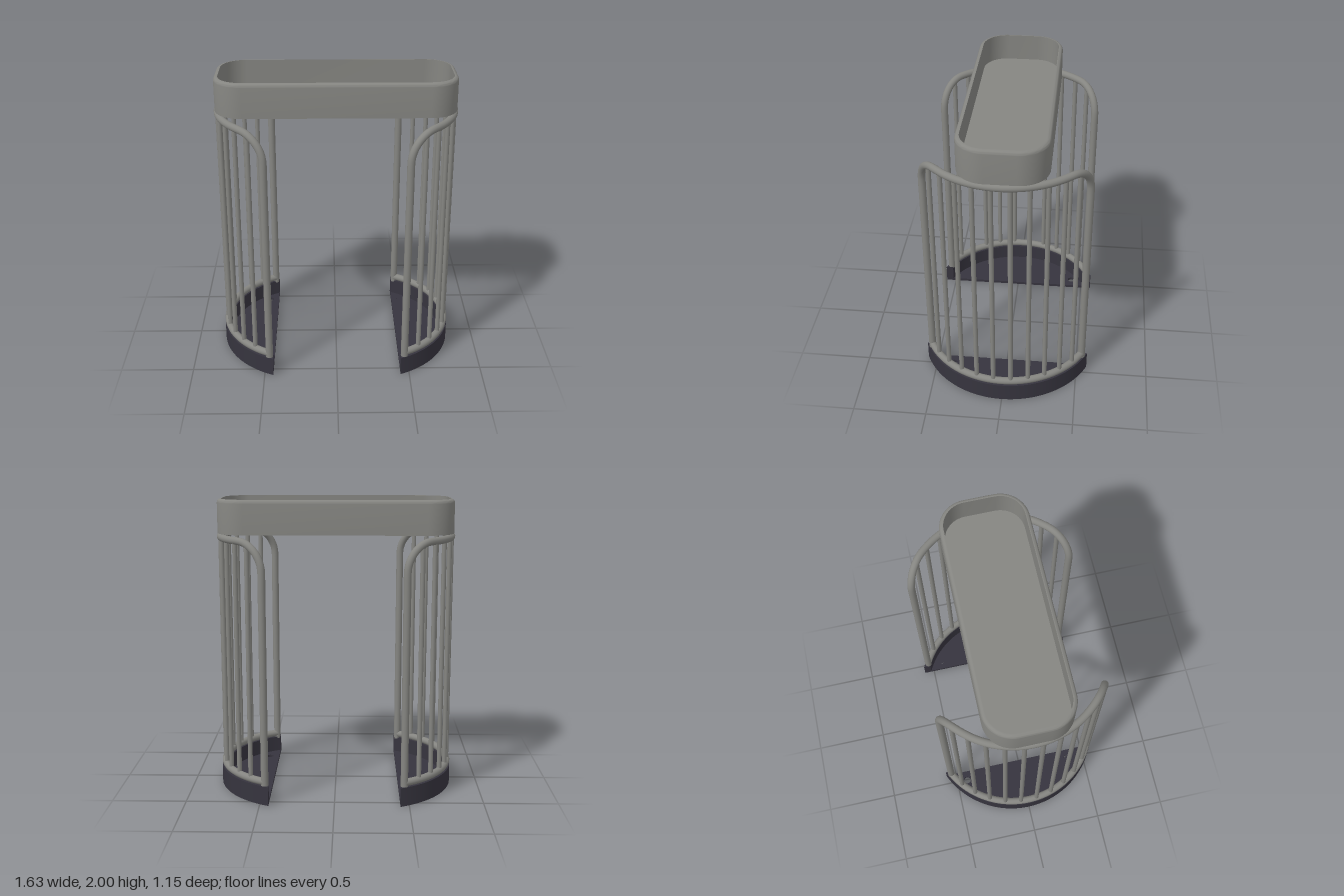
import * as THREE from 'three';
import { toCreasedNormals } from 'three/addons/utils/BufferGeometryUtils.js';

const CX = 0.186;                    // centre of each curved side
const R = 0.602;                     // radius of the rail centre line
const R_OUT = 0.627, R_IN = 0.58;    // base wall
const CHORD = 0.44;                  // straight inner edge of the base
const END = 1.089;                   // half angle of the rails
const TOP = 1.745, RING = 0.155, BEND = 0.19;
const RAIL = 0.025, BAR = 0.016;

const onArc = (a, y) => new THREE.Vector3(CX + R * Math.cos(a), y, R * Math.sin(a));

function tube(points, segments) {
  return new THREE.TubeGeometry(new THREE.CatmullRomCurve3(points), segments, RAIL, 14);
}

// Upright, bend, curved top rail, bend, upright
function hoopGeometry() {
  const half = [];
  for (const y of [0.12, 0.5, 1, 1.4]) half.push(onArc(END, y));
  for (let i = 0; i <= 8; i++) {
    const t = (i / 8) * Math.PI / 2;
    const s = BEND * (1 - Math.cos(t));
    half.push(onArc(END - s / R, TOP - BEND + BEND * Math.sin(t)));
  }
  const middle = [];
  const start = END - BEND / R;
  for (let i = 1; i < 10; i++) middle.push(onArc(start * (1 - i / 5), TOP));
  const other = half.map(p => new THREE.Vector3(p.x, p.y, -p.z)).reverse();
  return tube([...half, ...middle, ...other], 160);
}

function ringGeometry() {
  const pts = [];
  for (let i = 0; i <= 16; i++) pts.push(onArc(-END + (2 * END * i) / 16, RING));
  return tube(pts, 64);
}

// Extrude a plan shape upwards from y = 0
function slab(shape, height) {
  const g = new THREE.ExtrudeGeometry(shape, { depth: height, bevelEnabled: false, curveSegments: 48 });
  g.rotateX(-Math.PI / 2);
  return toCreasedNormals(g, 0.5);
}

// Floor segment with two bolt holes
function floorGeometry(side) {
  const a = Math.acos((CHORD - CX) / R_OUT);
  const shape = new THREE.Shape();
  shape.absarc(CX, 0, R_OUT, -a, a, false);
  shape.closePath();
  for (const z of [-0.422, 0.376]) {
    const hole = new THREE.Path();
    hole.absarc(0.509, -z * side, 0.026, 0, Math.PI * 2, true);
    shape.holes.push(hole);
  }
  return slab(shape, 0.02);
}

// Curved wall, cut off flat at the inner edge
function wallGeometry() {
  const ao = Math.acos((CHORD - CX) / R_OUT);
  const ai = Math.acos((CHORD - CX) / R_IN);
  const shape = new THREE.Shape();
  shape.absarc(CX, 0, R_OUT, -ao, ao, false);
  shape.absarc(CX, 0, R_IN, ai, -ai, true);
  shape.closePath();
  return slab(shape, 0.13);
}

// Open tray: rounded-rectangle loops, stacked along a wall profile of [inset, y]
function trayGeometry() {
  const W = 0.797, D = 0.289, CORNER = 0.19, STEPS = 12;
  const floorY = 1.82, top = 2, fillet = 0.025;
  const profile = [[0, 1.77]];
  for (let i = 0; i <= 6; i++) {
    const t = (i / 6) * Math.PI / 2;
    profile.push([fillet * (1 - Math.cos(t)), top - fillet + fillet * Math.sin(t)]);
  }
  profile.push([0.028, top], [0.028, floorY]);

  const pos = [], index = [];
  const N = 4 * (STEPS + 1);
  const corners = [[1, 1], [-1, 1], [-1, -1], [1, -1]];
  for (const [inset, y] of profile) {
    corners.forEach(([sx, sz], c) => {
      for (let i = 0; i <= STEPS; i++) {
        const a = (c + i / STEPS) * Math.PI / 2;
        const r = CORNER - inset;
        pos.push(sx * (W - CORNER) + r * Math.cos(a), y, sz * (D - CORNER) + r * Math.sin(a));
      }
    });
  }
  for (let k = 0; k < profile.length - 1; k++) {
    for (let i = 0; i < N; i++) {
      const j = (i + 1) % N;
      const a = k * N + i, b = k * N + j, c = a + N, d = b + N;
      index.push(a, c, b, b, c, d);
    }
  }
  // Underside and floor
  const under = pos.length / 3, floor = under + 1;
  pos.push(0, 1.77, 0, 0, floorY, 0);
  const last = (profile.length - 1) * N;
  for (let i = 0; i < N; i++) {
    const j = (i + 1) % N;
    index.push(under, i, j, floor, last + j, last + i);
  }
  const g = new THREE.BufferGeometry();
  g.setAttribute('position', new THREE.Float32BufferAttribute(pos, 3));
  g.setIndex(index);
  return toCreasedNormals(g, 0.6);
}

export function createModel() {
  const metal = new THREE.MeshStandardMaterial({ color: 0x858581 });
  metal.name = 'grey metal';
  const dark = new THREE.MeshStandardMaterial({ color: 0x36343e });
  dark.name = 'dark base';

  const model = new THREE.Group();
  model.name = 'barredStand';
  const add = (parent, name, geometry, material) => {
    const mesh = new THREE.Mesh(geometry, material);
    mesh.name = name;
    parent.add(mesh);
    return mesh;
  };

  add(model, 'tray', trayGeometry(), metal);

  const hoop = hoopGeometry(), ring = ringGeometry(), wall = wallGeometry();
  for (const side of [1, -1]) {
    const group = new THREE.Group();
    group.name = side > 0 ? 'leftSide' : 'rightSide';
    if (side < 0) group.rotation.y = Math.PI;
    add(group, 'baseFloor', floorGeometry(side), dark);
    add(group, 'baseWall', wall, dark);
    add(group, 'hoopRail', hoop, metal);
    add(group, 'bottomRail', ring, metal);

    // Ten upright bars evenly spaced between the end posts
    for (let i = 1; i <= 10; i++) {
      const a = -END + (2 * END * i) / 11;
      const gap = Math.max(0, BEND - (END - Math.abs(a)) * R);
      const topY = TOP - BEND + Math.sqrt(BEND * BEND - gap * gap);
      const bar = add(group, 'bar', new THREE.CylinderGeometry(BAR, BAR, topY - RING, 12, 1, true), metal);
      bar.position.copy(onArc(a, (topY + RING) / 2));
    }
    model.add(group);
  }
  return model;
}
